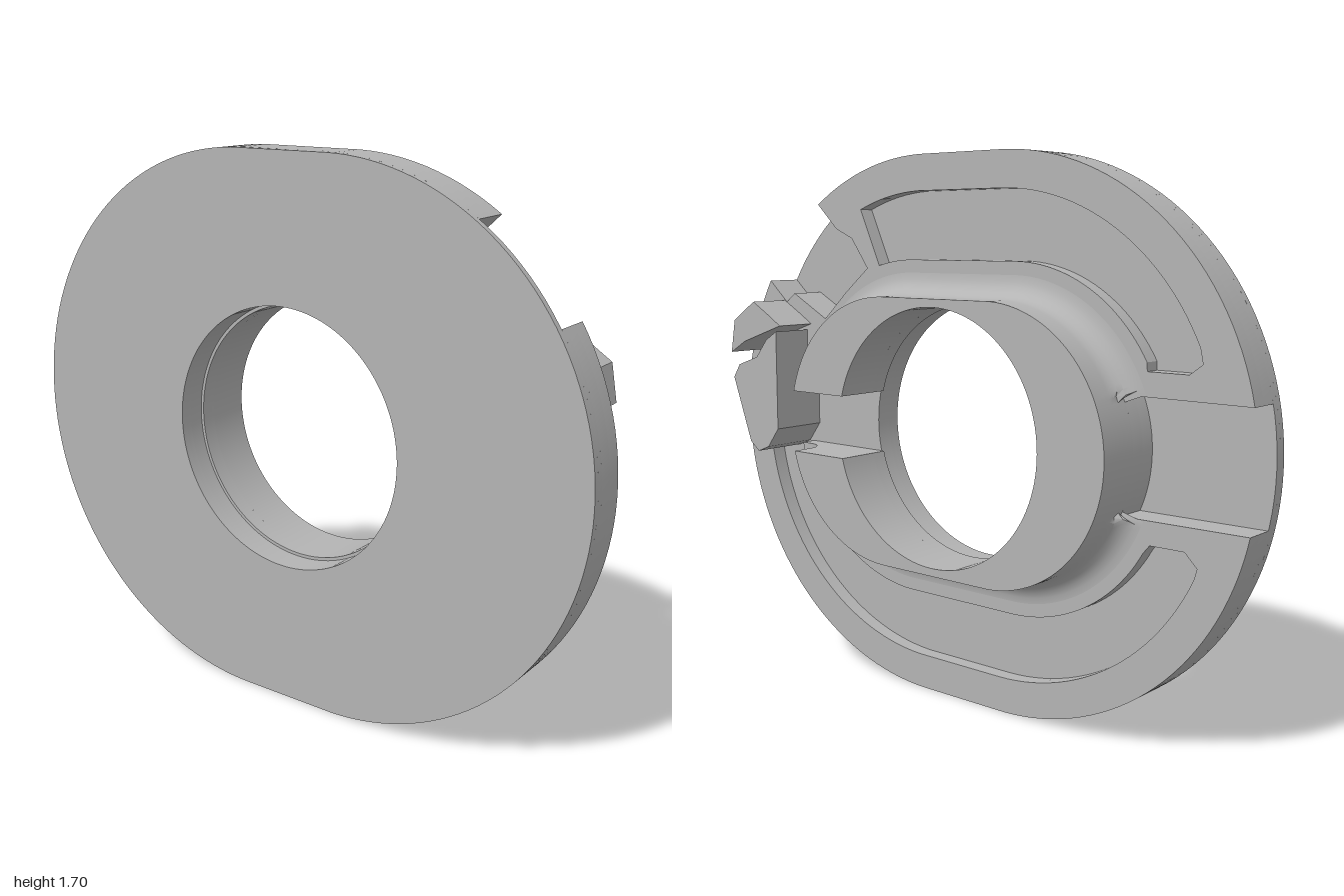
import * as THREE from 'three';
import { toCreasedNormals } from 'three/addons/utils/BufferGeometryUtils.js';

const RAD = Math.PI / 180;
const V = (x, y) => new THREE.Vector2(x, y);

// Point on an oval: two half circles of radius r, centred at x = +c and x = -c
const oval = (c, r, a) => V(r * Math.cos(a) + c * Math.sign(Math.cos(a)), r * Math.sin(a));

// Run of oval points between two angles in degrees
function arc(c, r, from, to) {
  const n = Math.max(4, Math.ceil(Math.abs(to - from) / 2.5));
  return Array.from({ length: n + 1 }, (_, i) => oval(c, r, (from + ((to - from) * i) / n) * RAD));
}

// Extruded slab between two z levels, with optional holes
function slab(points, holes, z0, z1) {
  const shape = new THREE.Shape(points);
  holes.forEach((h) => shape.holes.push(new THREE.Path(h)));
  const geo = new THREE.ExtrudeGeometry(shape, { depth: z1 - z0, bevelEnabled: false });
  geo.translate(0, 0, z0);
  return toCreasedNormals(geo, 0.5);
}

// Hub: a filleted profile swept round the oval, open at the +x slot
function hubGeometry() {
  const slot = 0.1, N = 144;
  const profile = [[0, 0.395, 0], [0, 0.395, -0.14], [0.2, 0.42, -0.14]];
  for (let k = 0; k <= 6; k++) {
    const t = (k * Math.PI) / 12;
    profile.push([0.2, 0.49 - 0.07 * Math.cos(t), -0.07 + 0.07 * Math.sin(t)]);
  }
  const pos = [], idx = [], P = profile.length;
  for (let j = 0; j <= N; j++) {
    for (const [c, r, z] of profile) {
      const start = Math.asin(slot / r);
      const p = oval(c, r, start + ((2 * Math.PI - 2 * start) * j) / N);
      // no fillet where the side channel meets the hub
      if (c > 0 && p.x < 0 && Math.abs(p.y) < 0.17) p.x = Math.max(p.x, -0.2 - Math.sqrt(0.42 ** 2 - p.y ** 2));
      pos.push(p.x, p.y, z);
    }
  }
  for (let j = 0; j < N; j++) {
    for (let i = 0; i < P - 1; i++) {
      const a = j * P + i, b = a + P;
      idx.push(a, b, a + 1, a + 1, b, b + 1);
    }
  }
  // slot walls
  const e = N * P;
  for (let k = 1; k < P - 1; k++) idx.push(0, k, k + 1, e, e + k + 1, e + k);
  const geo = new THREE.BufferGeometry();
  geo.setAttribute('position', new THREE.Float32BufferAttribute(pos, 3));
  geo.setIndex(idx);
  return toCreasedNormals(geo, 0.6);
}

export function createModel() {
  const grey = new THREE.MeshStandardMaterial({ color: 0xb4b4b4 });
  grey.name = 'plain grey';
  const model = new THREE.Group();
  model.name = 'flangedPlate';
  const add = (name, geo) => {
    const mesh = new THREE.Mesh(geo, grey);
    mesh.name = name;
    mesh.position.y = 0.85;
    model.add(mesh);
  };

  // Stepped notch through the rim, from its lower to its upper corner
  const notch = [
    V(0.79, 0.38), V(0.75, 0.41), V(0.6, 0.33), V(0.5, 0.42), V(0.4, 0.5),
    V(0.47, 0.595), V(0.54, 0.625),
  ];
  const bore = arc(0, 0.405, 0, 357.5);
  const lip = 0.395;
  const notched = [...arc(0.15, 0.85, 56, 392), ...notch];
  // Outline with the side channel cut in to the hub as well
  const channelled = [
    ...arc(0.15, 0.85, 56, 168.5),
    ...arc(0.2, 0.42, 156, 204),
    ...arc(0.15, 0.85, 191.5, 392),
    ...notch,
  ];

  // Upper pocket
  const upperPocket = [...arc(0.15, 0.74, 68, 155), V(-0.83, 0.27), V(-0.79, 0.24), V(-0.66, 0.24), ...arc(0.2, 0.53, 150, 74)];
  // Lower pocket, joined to the bore through the hub slot
  const sBore = Math.asin(0.1 / lip) / RAD, sPocket = Math.asin(0.1 / 0.53) / RAD;
  const lowerPocket = [
    ...arc(0, lip, sBore, 360 - sBore),
    ...arc(0.2, 0.53, -sPocket, -150),
    V(-0.68, -0.24), V(-0.79, -0.24), V(-0.83, -0.28),
    ...arc(0.15, 0.74, -155, 22),
    ...arc(0.2, 0.53, 22, sPocket),
  ];

  // Plate, built in levels from the front face to the back
  add('frontFace', slab(arc(0.15, 0.85, 0, 357.5), [bore], 0.12, 0.14));
  add('notchedLayer', slab(notched, [bore], 0.1, 0.12));
  add('channelLayer', slab(channelled, [bore], 0.05, 0.1));
  add('pocketLayer', slab(channelled, [upperPocket, lowerPocket], 0, 0.05));
  add('hub', hubGeometry());

  // Raised lugs beside the notch
  add('lowerLug', slab([
    V(0.69, 0.29), V(0.69, -0.035), V(0.74, -0.1), V(0.79, -0.12), V(0.83, -0.09),
    V(0.91, 0.125), V(0.88, 0.17), V(0.79, 0.2), V(0.74, 0.26),
  ], [], -0.14, 0.05));
  add('upperLug', slab([
    V(0.67, 0.31), V(0.85, 0.25), V(0.92, 0.21), V(0.9, 0.32), V(0.8, 0.385), V(0.72, 0.34),
  ], [], -0.14, 0.05));

  return model;
}
